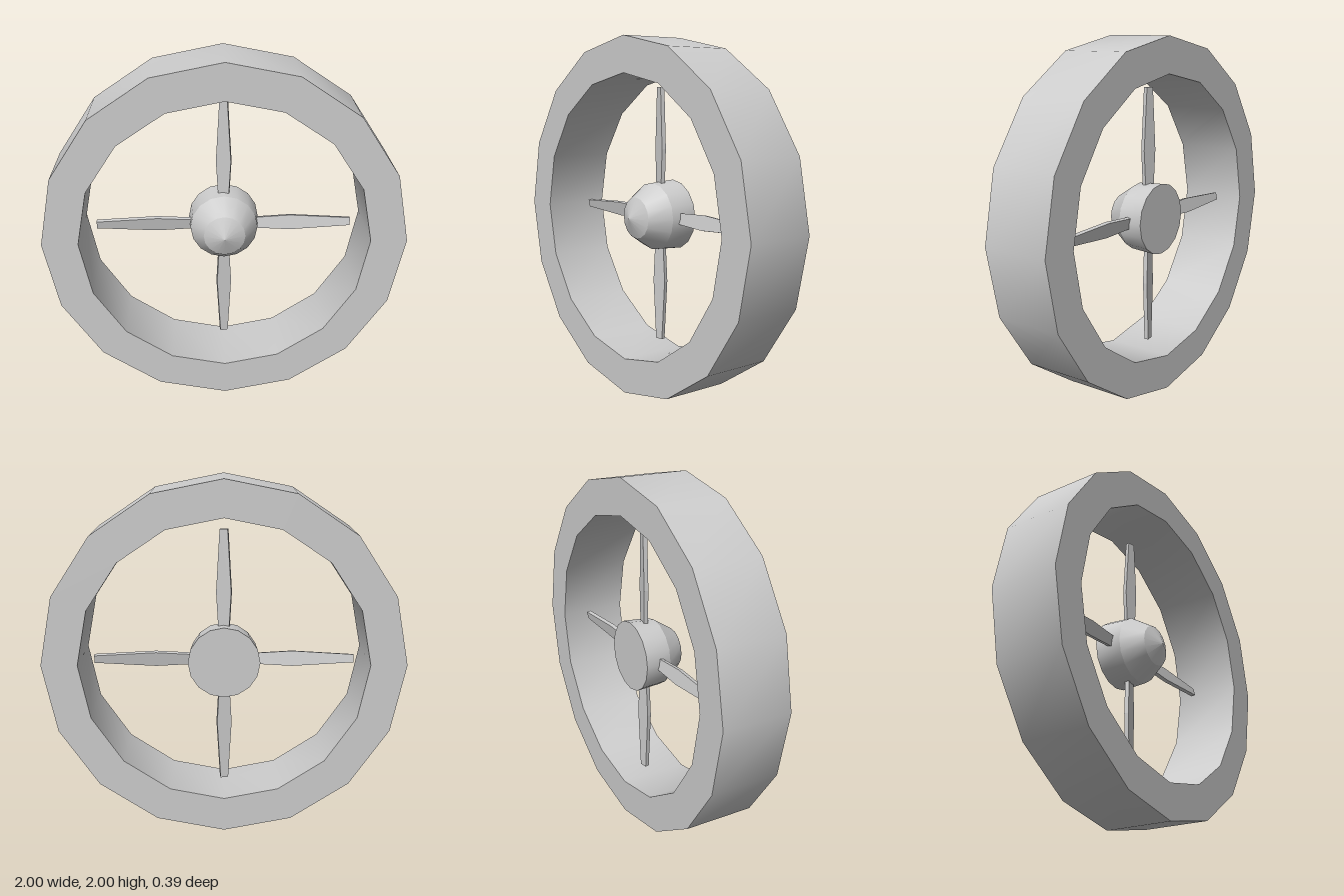
import * as THREE from 'three';
import { toCreasedNormals } from 'three/addons/utils/BufferGeometryUtils.js';

const SIDES = 16;
const material = new THREE.MeshStandardMaterial({ color: 0xcccccc });

// Revolves [radius, z] pairs around the z axis, keeping profile corners sharp
function turned(name, profile) {
  const points = profile.map(([r, z]) => new THREE.Vector2(r, z));
  const geometry = new THREE.LatheGeometry(points, SIDES).rotateX(Math.PI / 2);
  const mesh = new THREE.Mesh(toCreasedNormals(geometry, 0.45), material);
  mesh.name = name;
  return mesh;
}

// Thin diamond-like blade pointing up, slightly pitched about its length
function bladeGeometry() {
  const outline = [[0.03, 0.17], [0.042, 0.38], [0.022, 0.725]];
  const shape = new THREE.Shape([
    ...outline.map(([x, y]) => new THREE.Vector2(x, y)),
    ...outline.slice().reverse().map(([x, y]) => new THREE.Vector2(-x, y)),
  ]);
  const depth = 0.024;
  return new THREE.ExtrudeGeometry(shape, { depth, bevelEnabled: false })
    .translate(0, 0, -depth / 2)
    .rotateY(-0.2)
    .translate(0, 0, -0.06);
}

export function createModel() {
  const fan = new THREE.Group();
  fan.name = 'ductedFan';

  // Outer duct: a square-section ring
  const h = 0.197;
  fan.add(turned('duct', [[0.8, -h], [1, -h], [1, h], [0.8, h], [0.8, -h]]));

  // Hub with flat back, tapering to a blunt nose
  fan.add(turned('hub', [[0, -0.15], [0.2, -0.15], [0.19, 0], [0.116, 0.115], [0, 0.165]]));

  // Four blades around the hub
  const blade = bladeGeometry();
  for (let i = 0; i < 4; i++) {
    const mesh = new THREE.Mesh(blade, material);
    mesh.name = `blade${i + 1}`;
    mesh.rotation.z = (i * Math.PI) / 2;
    fan.add(mesh);
  }

  fan.position.y = 1;
  const model = new THREE.Group();
  model.name = 'model';
  model.add(fan);
  return model;
}
